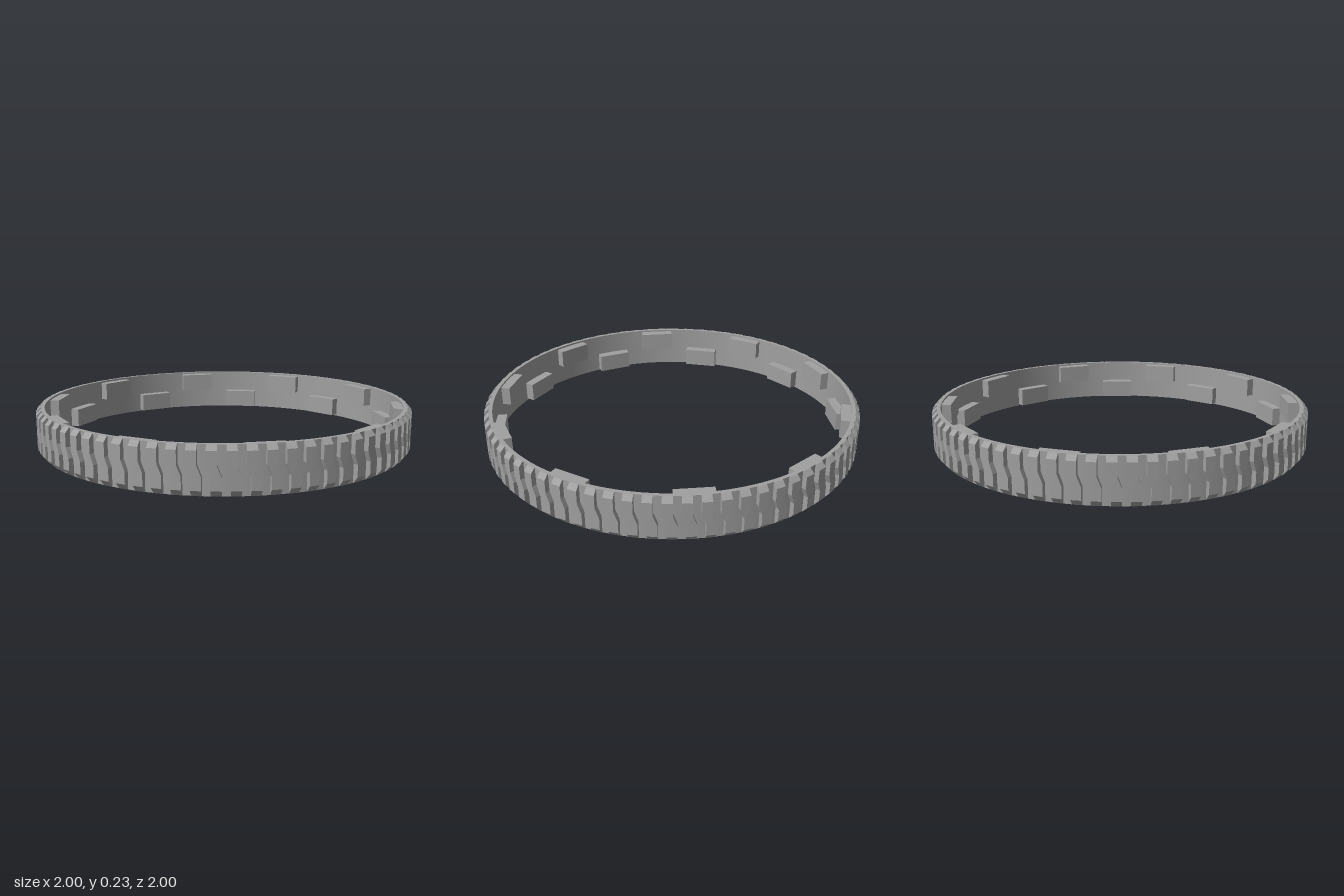
import * as THREE from 'three';
import { mergeGeometries, toCreasedNormals } from 'three/addons/utils/BufferGeometryUtils.js';

const HEIGHT = 0.23;
const TREADS = 72;
const LUGS = 20;

// Thin hoop: outer circle with a round hole, extruded upward
function bandGeometry() {
  const ring = new THREE.Shape().absarc(0, 0, 0.974, 0, Math.PI * 2);
  ring.holes.push(new THREE.Path().absarc(0, 0, 0.955, 0, Math.PI * 2, true));
  const geo = new THREE.ExtrudeGeometry(ring, { depth: HEIGHT, bevelEnabled: false, curveSegments: 120 });
  geo.rotateX(-Math.PI / 2);
  return toCreasedNormals(geo, 0.6);
}

// One tread bar: stacked sections that step sideways at mid height, chamfered at both ends
function treadGeometry() {
  const half = 0.024, inner = 0.965, shift = 0.01;
  const levels = [ // height, outer radius, sideways shift
    [0, 0.976, shift], [0.03, 1, shift], [0.09, 1, shift],
    [0.14, 1, -shift], [0.207, 1, -shift], [HEIGHT, 0.978, -shift],
  ];
  const sections = levels.map(([y, r, s]) =>
    [[-half, inner], [-half, r], [half, r], [half, inner]].map(([a, rad]) =>
      [rad * Math.sin(a + s), y, rad * Math.cos(a + s)]));
  const pos = [];
  const quad = (a, b, c, d) => pos.push(...a, ...b, ...c, ...a, ...c, ...d);
  for (let k = 0; k < sections.length - 1; k++) {
    const lo = sections[k], hi = sections[k + 1];
    for (let i = 0; i < 3; i++) quad(lo[i], lo[i + 1], hi[i + 1], hi[i]);
  }
  const first = sections[0], last = sections[sections.length - 1];
  quad(...last);
  quad(first[3], first[2], first[1], first[0]);
  const geo = new THREE.BufferGeometry();
  geo.setAttribute('position', new THREE.Float32BufferAttribute(pos, 3));
  geo.computeVertexNormals();
  return geo;
}

export function createModel() {
  const model = new THREE.Group();
  model.name = 'treadedRing';
  const grey = new THREE.MeshStandardMaterial({ color: 0xa0a0a0 });
  grey.name = 'grey';

  const add = (name, geo) => {
    const mesh = new THREE.Mesh(geo, grey);
    mesh.name = name;
    model.add(mesh);
    return mesh;
  };

  add('band', bandGeometry());

  // Tread bars all round the outside
  const tread = treadGeometry();
  const bars = [];
  for (let i = 0; i < TREADS; i++) bars.push(tread.clone().rotateY((i / TREADS) * Math.PI * 2));
  add('treadBars', mergeGeometries(bars));

  // Inner lugs, alternating between the upper and lower edge
  const lugGeo = new THREE.BoxGeometry(0.19, 0.1, 0.06);
  for (let i = 0; i < LUGS; i++) {
    const upper = i % 2 === 0;
    const angle = Math.PI - THREE.MathUtils.degToRad(11.3 + (i * 360) / LUGS);
    const lug = add(upper ? 'upperLug' : 'lowerLug', lugGeo);
    lug.position.set(0.932 * Math.sin(angle), upper ? 0.17 : 0.06, 0.932 * Math.cos(angle));
    lug.rotation.y = angle;
  }
  return model;
}
